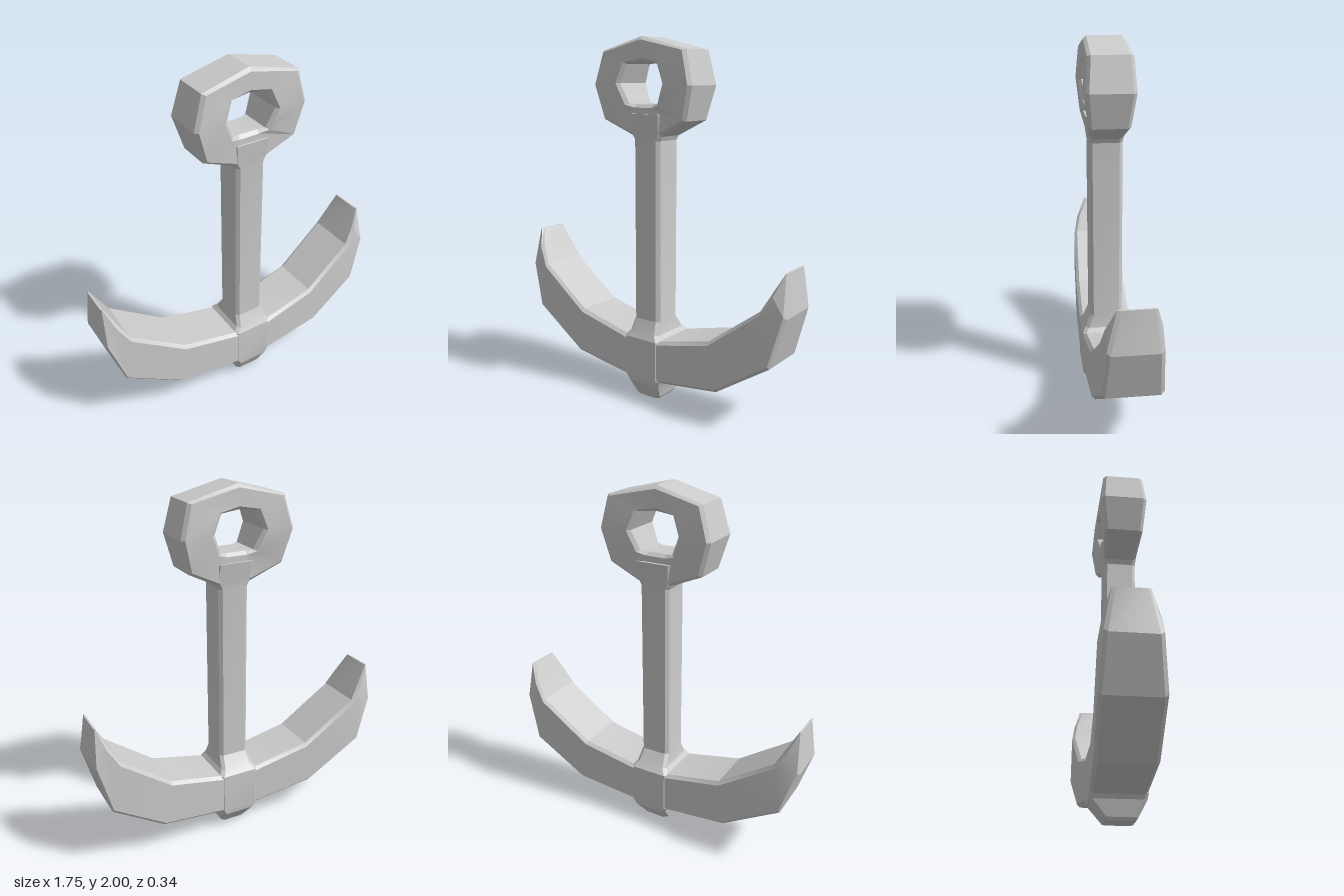
import * as THREE from 'three';
import { toCreasedNormals } from 'three/addons/utils/BufferGeometryUtils.js';

// Sweeps a chamfered rectangle through stations [ax, ay, bx, by, zBack, zFront].
// a and b are the two edges of the silhouette; closed joins the last station to the first.
function loft(name, stations, chamfer, closed = false) {
  const pos = [], idx = [], n = 8;
  for (const [ax, ay, bx, by, zb, zf] of stations) {
    const corners = [[ax, ay, zb], [ax, ay, zf], [bx, by, zf], [bx, by, zb]]
      .map((c) => new THREE.Vector3(...c));
    corners.forEach((p, i) => {
      for (const q of [corners[(i + 3) % 4], corners[(i + 1) % 4]]) {
        const d = p.distanceTo(q);
        pos.push(...p.clone().lerp(q, Math.min(chamfer / d, 0.4)).toArray());
      }
    });
  }
  const m = stations.length;
  for (let i = 0; i < (closed ? m : m - 1); i++) {
    const s = i * n, t = ((i + 1) % m) * n;
    for (let j = 0; j < n; j++) {
      const k = (j + 1) % n;
      idx.push(s + j, t + j, s + k, s + k, t + j, t + k);
    }
  }
  if (!closed) {
    const e = (m - 1) * n;
    for (let j = 1; j < n - 1; j++) idx.push(0, j, j + 1, e, e + j + 1, e + j);
  }
  const geo = new THREE.BufferGeometry();
  geo.setAttribute('position', new THREE.Float32BufferAttribute(pos, 3));
  geo.setIndex(idx);
  const mesh = new THREE.Mesh(
    toCreasedNormals(geo, 0.3),
    new THREE.MeshStandardMaterial({ color: 0xcccccc })
  );
  mesh.name = name;
  return mesh;
}

export function createModel() {
  const anchor = new THREE.Group();
  anchor.name = 'anchor';

  // Curved arms, from the left-hand tip on screen to the right-hand one
  anchor.add(loft('arms', [
    [-0.862, 0.86, -0.852, 0.86, -0.11, 0.07],
    [-0.88, 0.63, -0.80, 0.76, -0.145, 0.12],
    [-0.795, 0.375, -0.745, 0.66, -0.16, 0.145],
    [-0.465, 0.17, -0.43, 0.44, -0.145, 0.16],
    [-0.08, 0.12, -0.09, 0.365, -0.13, 0.167],
    [0.11, 0.12, 0.13, 0.365, -0.13, 0.165],
    [0.50, 0.17, 0.45, 0.44, -0.15, 0.155],
    [0.80, 0.37, 0.74, 0.66, -0.172, 0.137],
    [0.875, 0.64, 0.795, 0.76, -0.155, 0.12],
    [0.852, 0.86, 0.842, 0.86, -0.12, 0.07],
  ], 0.018));

  // Shank with flared ends and the crown stub below the arms
  anchor.add(loft('shank', [
    [0.095, 0.0, -0.05, 0.0, -0.05, 0.11],
    [0.105, 0.015, -0.062, 0.015, -0.06, 0.12],
    [0.125, 0.10, -0.08, 0.10, -0.13, 0.165],
    [0.14, 0.13, -0.10, 0.13, -0.135, 0.17],
    [0.14, 0.36, -0.10, 0.36, -0.132, 0.168],
    [0.118, 0.39, -0.075, 0.39, -0.105, 0.15],
    [0.107, 0.46, -0.065, 0.46, -0.06, 0.12],
    [0.107, 1.46, -0.065, 1.46, -0.06, 0.12],
    [0.125, 1.50, -0.085, 1.50, -0.065, 0.125],
    [0.13, 1.60, -0.09, 1.60, -0.08, 0.135],
  ], 0.018));

  // Eye ring: outer and inner points, anticlockwise from the top
  anchor.add(loft('ring', [
    [0.0, 2.0, 0.0, 1.87, -0.08, 0.138],
    [-0.265, 1.93, -0.10, 1.86, -0.088, 0.142],
    [-0.318, 1.75, -0.138, 1.76, -0.10, 0.155],
    [-0.265, 1.565, -0.09, 1.655, -0.078, 0.138],
    [-0.065, 1.48, -0.05, 1.65, -0.065, 0.122],
    [0.11, 1.48, 0.06, 1.65, -0.065, 0.122],
    [0.285, 1.57, 0.10, 1.655, -0.078, 0.138],
    [0.33, 1.75, 0.145, 1.76, -0.10, 0.155],
    [0.285, 1.93, 0.10, 1.86, -0.088, 0.142],
  ], 0.018, true));

  return anchor;
}
